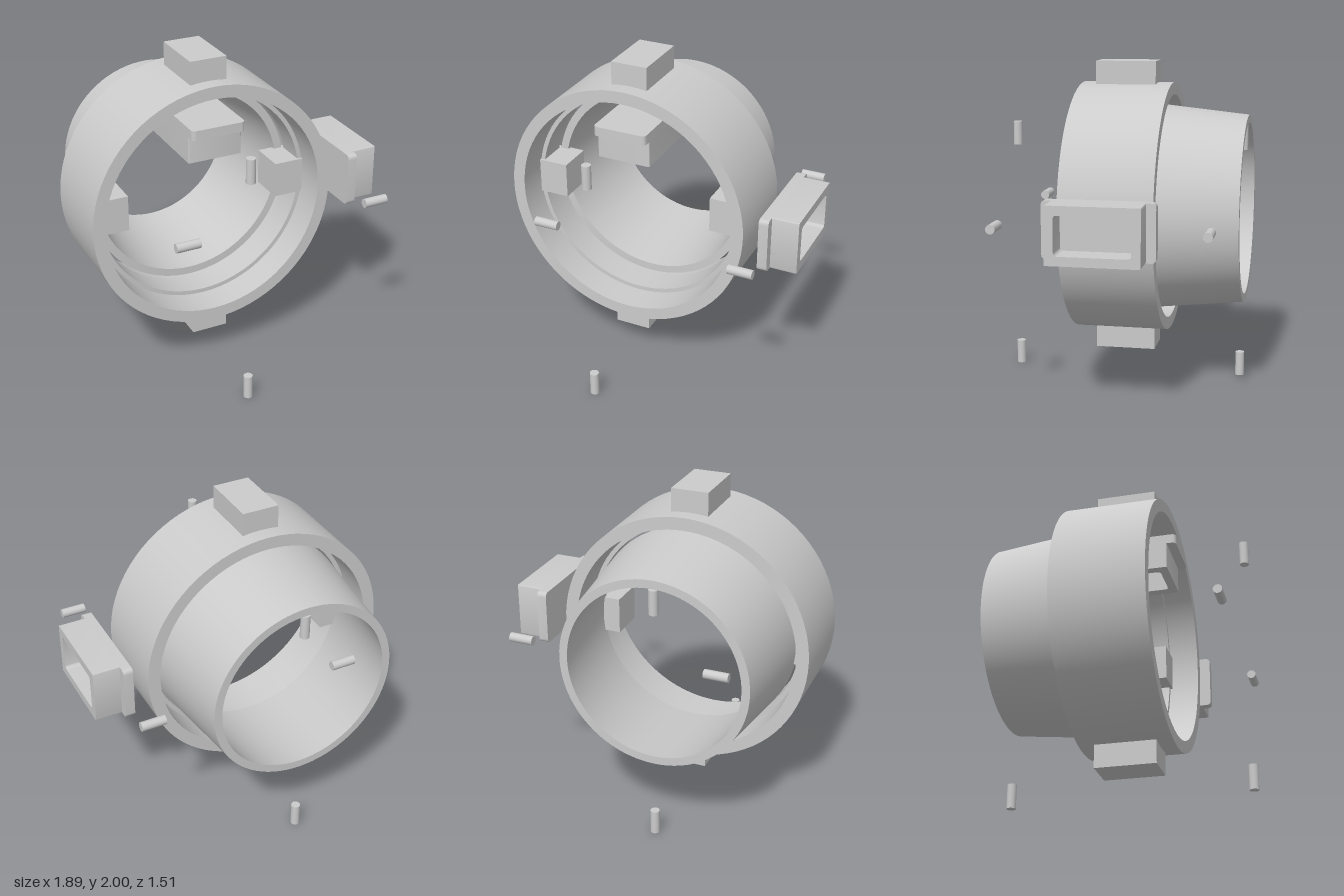
import * as THREE from 'three';
import { toCreasedNormals } from 'three/addons/utils/BufferGeometryUtils.js';

const material = new THREE.MeshStandardMaterial({ color: 0xcccccc });
const CX = -0.17, CY = 1.085; // axis of the round parts

function add(parent, name, geometry, x = 0, y = 0, z = 0) {
  const mesh = new THREE.Mesh(geometry, material);
  mesh.name = name;
  mesh.position.set(x, y, z);
  parent.add(mesh);
  return mesh;
}

// Hollow ring around the z axis; back and front are [z, outer radius, inner radius]
function ring([zb, ob, ib], [zf, of, inf]) {
  const profile = [[ob, zb], [of, zf], [inf, zf], [ib, zb], [ob, zb]]
    .map(([r, z]) => new THREE.Vector2(r, z));
  const geometry = new THREE.LatheGeometry(profile, 80).rotateX(Math.PI / 2);
  return toCreasedNormals(geometry, 0.5);
}

// Rounded rectangle centred on the origin
function roundedRect(Type, w, h, r) {
  const s = new Type(), x = w / 2, y = h / 2;
  s.moveTo(-x + r, -y);
  s.lineTo(x - r, -y).quadraticCurveTo(x, -y, x, -y + r);
  s.lineTo(x, y - r).quadraticCurveTo(x, y, x - r, y);
  s.lineTo(-x + r, y).quadraticCurveTo(-x, y, -x, y - r);
  s.lineTo(-x, -y + r).quadraticCurveTo(-x, -y, -x + r, -y);
  return s;
}

// Extrude a shape towards +x, its width running along z
function extrudeX(shape, depth) {
  const geometry = new THREE.ExtrudeGeometry(shape, { depth, bevelEnabled: false, curveSegments: 6 });
  return toCreasedNormals(geometry.rotateY(Math.PI / 2), 0.6);
}

// Flanged housing with a rectangular recess opening towards +x
function housing(name) {
  const group = new THREE.Group();
  group.name = name;
  add(group, 'flange', extrudeX(roundedRect(THREE.Shape, 0.66, 0.34, 0.03), 0.06));
  const body = roundedRect(THREE.Shape, 0.545, 0.34, 0.008);
  body.holes.push(roundedRect(THREE.Path, 0.44, 0.23, 0.025));
  add(group, 'recessedBody', extrudeX(body, 0.165), 0.06);
  return group;
}

export function createModel() {
  const model = new THREE.Group();
  model.name = 'explodedHousing';

  // Concentric rings
  add(model, 'outerRing', ring([-0.283, 0.78, 0.703], [0.283, 0.78, 0.703]), CX, CY);
  add(model, 'sealRing', ring([-0.08, 0.692, 0.665], [0.1, 0.692, 0.665]), CX, CY);
  add(model, 'taperedSleeve', ring([-0.755, 0.585, 0.535], [-0.09, 0.655, 0.605]), CX, CY);

  for (const s of [-1, 1]) {
    // Mounting tabs above and below the outer ring
    add(model, 'mountingTab', new THREE.BoxGeometry(0.23, 0.155, 0.375), CX, CY + s * 0.8375, 0);
    // Blocks inside the ring, left and right
    add(model, 'innerBlock', new THREE.BoxGeometry(0.19, 0.225, 0.23), CX + s * 0.589, CY, 0);
  }

  // One housing beside the ring, one inside it facing down
  const side = housing('sideHousing');
  side.position.set(0.72, 1.09, 0);
  const inner = housing('innerHousing');
  inner.position.set(CX, 1.635, 0);
  inner.rotation.z = -Math.PI / 2;
  model.add(side, inner);

  // Loose pins, in front and mirrored behind
  const pin = new THREE.CylinderGeometry(0.028, 0.028, 0.15, 24);
  for (const s of [-1, 1]) {
    for (const y of [0.075, 1.53]) add(model, 'uprightPin', pin, CX, y, s * 0.725);
    for (const x of [-0.51, 0.732]) {
      add(model, 'crossPin', pin, x, CY, s * 0.622).rotation.z = Math.PI / 2;
    }
  }
  return model;
}
